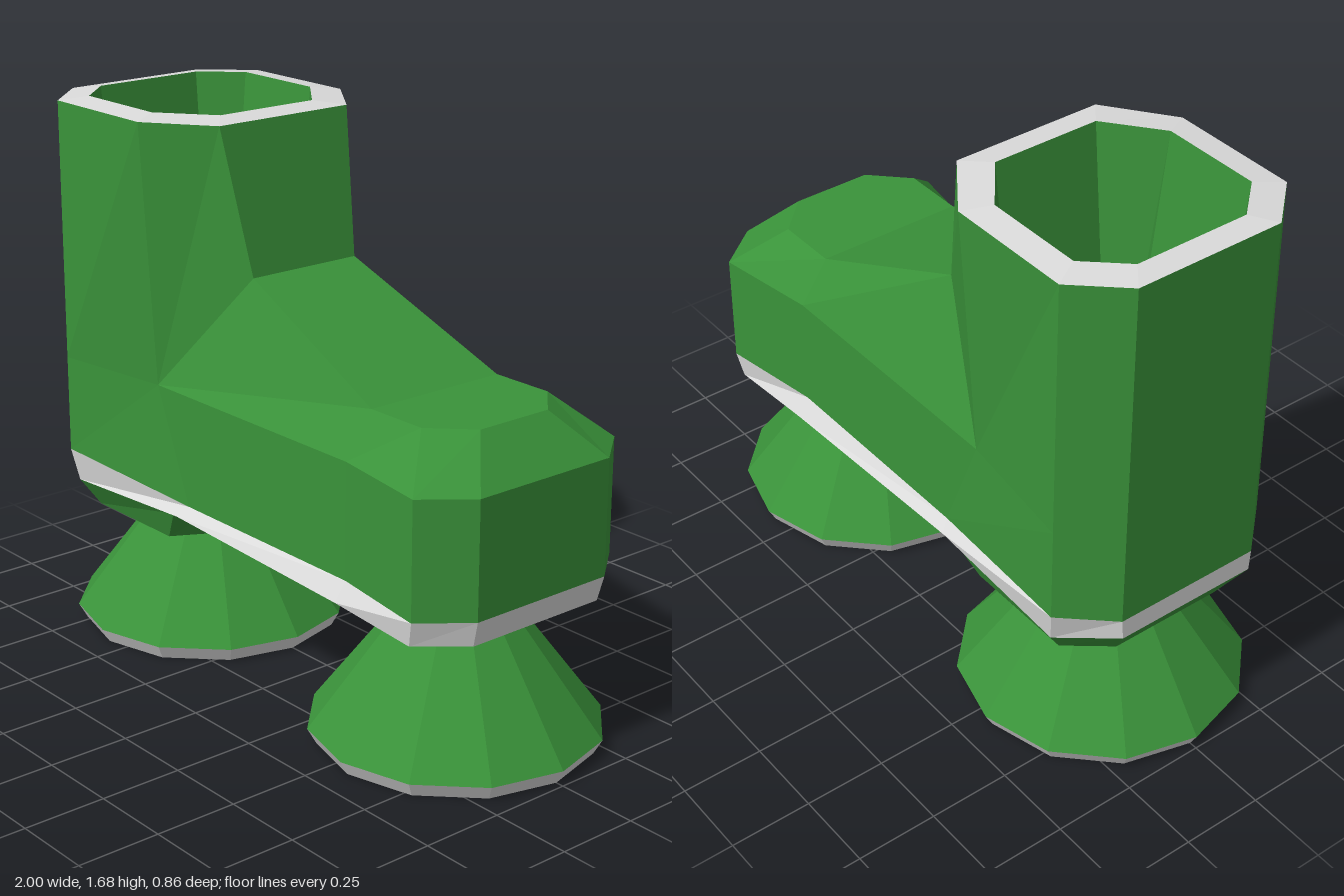
import * as THREE from 'three';

const green = new THREE.MeshStandardMaterial({ color: 0x3a933a });
green.name = 'green';
const lightGrey = new THREE.MeshStandardMaterial({ color: 0xdadada });
lightGrey.name = 'light grey';

const flip = ([x, y, z]) => [x, y, -z];

// Collects faceted faces; every profile lists the +z half from back to front.
class Facets {
  constructor() { this.pos = []; }
  quad(a, b, c, d) { this.pos.push(...a, ...b, ...c, ...a, ...c, ...d); }
  // Wall between two half rings, mirrored, closed at the back and front ends
  wall(lo, hi, back = true, front = true) {
    const n = lo.length - 1;
    for (let i = 0; i < n; i++) {
      this.quad(lo[i], lo[i + 1], hi[i + 1], hi[i]);
      this.quad(flip(lo[i + 1]), flip(lo[i]), flip(hi[i]), flip(hi[i + 1]));
    }
    if (back) this.quad(flip(lo[0]), lo[0], hi[0], flip(hi[0]));
    if (front) this.quad(lo[n], flip(lo[n]), flip(hi[n]), hi[n]);
    return this;
  }
  // Surface spanning a half ring to its mirror image
  deck(half, down = false) {
    for (let i = 0; i < half.length - 1; i++) {
      const [a, b] = down ? [half[i + 1], half[i]] : [half[i], half[i + 1]];
      this.quad(a, b, flip(b), flip(a));
    }
    return this;
  }
  mesh(name, material) {
    const g = new THREE.BufferGeometry();
    g.setAttribute('position', new THREE.Float32BufferAttribute(this.pos, 3));
    g.computeVertexNormals();
    const m = new THREE.Mesh(g, material);
    m.name = name;
    return m;
  }
}

function turned(name, points, material) {
  const profile = points.map(([r, y]) => new THREE.Vector2(r, y));
  const g = new THREE.LatheGeometry(profile, 12).toNonIndexed();
  g.computeVertexNormals();
  const m = new THREE.Mesh(g, material);
  m.name = name;
  return m;
}

function suctionCup(name, x) {
  const cup = new THREE.Group();
  cup.name = name;
  cup.add(
    turned('cupCone', [[0.43, 0.045], [0.185, 0.37], [0, 0.37]], green),
    turned('cupRim', [[0.405, 0], [0.43, 0.045]], lightGrey),
    turned('cupBase', [[0, 0], [0.405, 0]], green));
  cup.position.x = x;
  return cup;
}

export function createModel() {
  const model = new THREE.Group();
  model.name = 'boot';

  // Cross-section half rings, from the sole upwards
  const soleBottom = [[-0.92, 0.505, 0.23], [-0.77, 0.47, 0.36], [-0.27, 0.495, 0.355],
    [0.46, 0.465, 0.36], [0.77, 0.445, 0.365], [0.88, 0.445, 0.235]];
  const soleTop = [[-0.92, 0.57, 0.235], [-0.79, 0.57, 0.377], [-0.25, 0.525, 0.325],
    [0.465, 0.522, 0.325], [0.79, 0.522, 0.377], [0.9, 0.522, 0.24]];
  const sideTop = [[-0.92, 0.87, 0.235], [-0.79, 0.87, 0.377], [-0.39, 0.87, 0.325],
    [0.465, 0.87, 0.325], [0.79, 0.87, 0.377], [0.9, 0.87, 0.24]];
  const instep = [[-0.1, 1.235, 0.19], [0.465, 1, 0.235], [0.665, 1, 0.235], [0.775, 1, 0.125]];
  const cuffOuter = [[-0.92, 1.667, 0.235], [-0.79, 1.667, 0.377], [-0.385, 1.667, 0.377], [-0.19, 1.667, 0.235]];
  const cuffInner = [[-0.85, 1.677, 0.18], [-0.745, 1.677, 0.295], [-0.43, 1.677, 0.295], [-0.27, 1.677, 0.17]];
  const floor = [[-0.725, 0.53, 0.15], [-0.71, 0.53, 0.167], [-0.415, 0.53, 0.167], [-0.4, 0.53, 0.15]];

  // Upper: foot sides, shaft, then instep and toe cap
  model.add(new Facets()
    .wall(soleTop, sideTop)
    .wall([...sideTop.slice(0, 3), instep[0]], cuffOuter)
    .wall(sideTop.slice(2), instep, false, true)
    .deck(instep)
    .mesh('upper', green));

  // Hollow inside of the shaft and its rim
  model.add(new Facets().wall(cuffInner, floor).deck(floor).mesh('lining', green));
  model.add(new Facets().wall(cuffOuter, cuffInner).mesh('cuffRim', lightGrey));

  // Sole band, underside and heel
  model.add(new Facets().wall(soleBottom, soleTop).mesh('soleBand', lightGrey));
  model.add(new Facets().deck(soleBottom, true).mesh('soleUnderside', green));
  const heelTop = [soleBottom[0], soleBottom[1], [-0.3, 0.493, 0.345], [-0.245, 0.495, 0.2]];
  const heelBottom = [[-0.84, 0.385, 0.18], [-0.74, 0.385, 0.305], [-0.38, 0.385, 0.305], [-0.31, 0.385, 0.18]];
  model.add(new Facets().wall(heelBottom, heelTop).deck(heelBottom, true).mesh('heel', green));

  // Suction cups under heel and toe
  model.add(suctionCup('heelSuctionCup', -0.57), suctionCup('toeSuctionCup', 0.57));
  return model;
}
